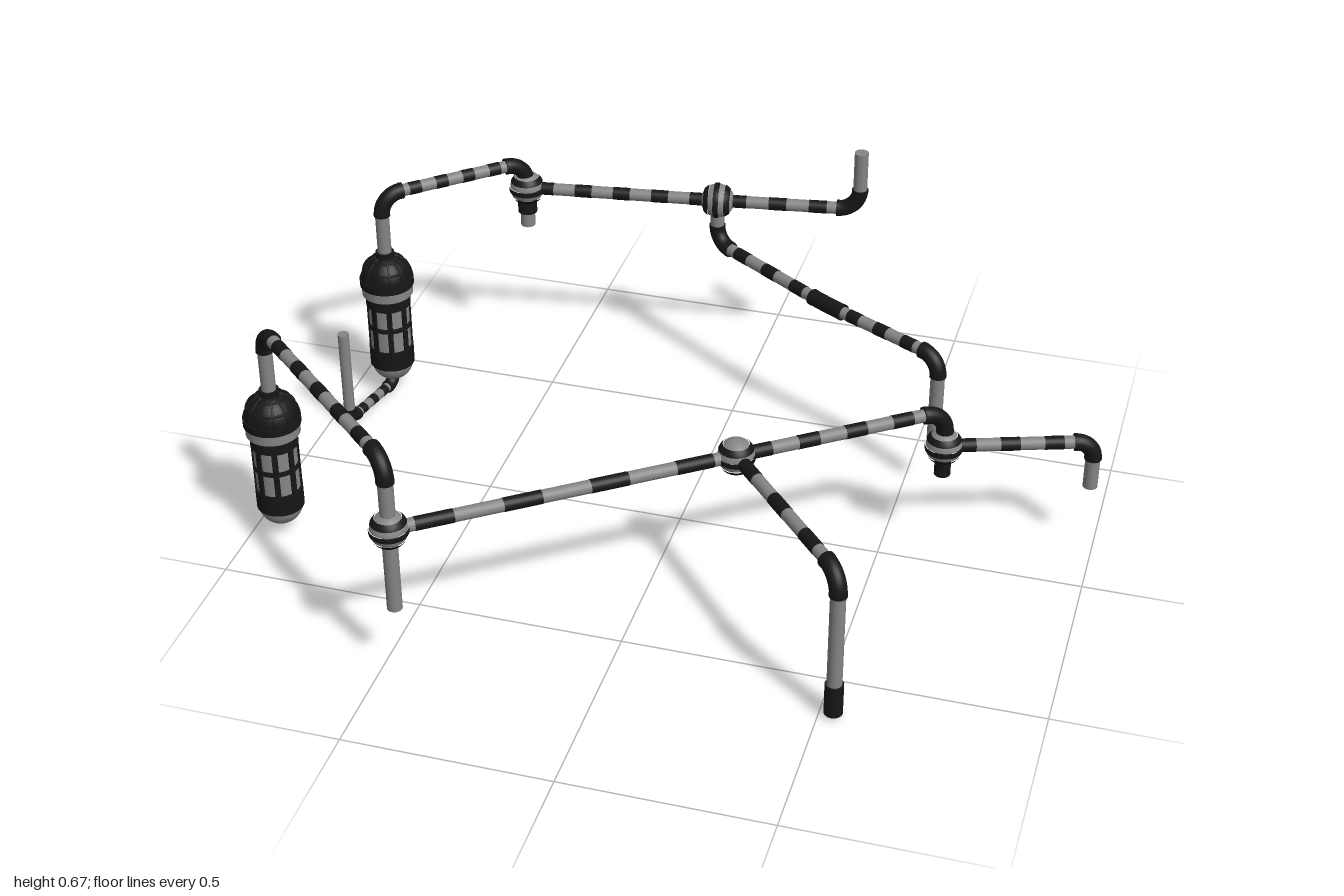
import * as THREE from 'three';

const grey = new THREE.MeshStandardMaterial({ color: 0x858585 });
const black = new THREE.MeshStandardMaterial({ color: 0x161616 });
const V = (x, y, z) => new THREE.Vector3(x, y, z);
const UP = V(0, 1, 0);

function add(parent, name, geometry, material) {
  const mesh = new THREE.Mesh(geometry, material);
  mesh.name = name;
  parent.add(mesh);
  return mesh;
}

// Straight cylinder between two points
function rod(parent, name, a, b, r, material) {
  const dir = b.clone().sub(a);
  const m = add(parent, name, new THREE.CylinderGeometry(r, r, dir.length(), 20), material);
  m.position.copy(a).lerp(b, 0.5);
  m.quaternion.setFromUnitVectors(UP, dir.normalize());
  return m;
}

// Horizontal runs carry black sleeves; uprights stay plain
function straight(parent, a, b, r, bands) {
  const flat = Math.abs(a.y - b.y) < 0.03;
  rod(parent, 'pipe', a, b, flat ? r * 0.88 : r, grey);
  if (!flat) return;
  for (let i = 0; i < bands; i++) {
    const t = (i + 0.5) / bands, h = 0.22 / bands;
    rod(parent, 'sleeve', a.clone().lerp(b, t - h), a.clone().lerp(b, t + h), r * 0.92, black);
  }
}

// Pipe along corner points, with black rounded elbows
function pipe(parent, name, pts, bands = 5, r = 0.018, bend = 0.055) {
  const g = new THREE.Group();
  g.name = name;
  parent.add(g);
  let start = pts[0];
  for (let i = 1; i < pts.length; i++) {
    const p = pts[i];
    if (i === pts.length - 1) { straight(g, start, p, r, bands); break; }
    const before = p.clone().add(pts[i - 1].clone().sub(p).setLength(bend));
    const after = p.clone().add(pts[i + 1].clone().sub(p).setLength(bend));
    straight(g, start, before, r, bands);
    // cubic handles approximate a circular quarter bend
    const curve = new THREE.CubicBezierCurve3(before, before.clone().lerp(p, 0.55), after.clone().lerp(p, 0.55), after);
    add(g, 'elbow', new THREE.TubeGeometry(curve, 12, r * 1.15, 20), black);
    for (const [end, t] of [[before, 0], [after, 1]]) {
      const d = curve.getTangent(t).multiplyScalar(0.004);
      rod(g, 'elbowCollar', end.clone().sub(d), end.clone().add(d), r * 1.18, black);
    }
    start = after;
  }
}

// Ball joint made of grey and black latitude bands
function joint(parent, name, p, axis = UP) {
  const g = new THREE.Group();
  g.name = name;
  const cuts = [0, 0.24, 0.36, 0.46, 0.56, 0.66, 0.78, 1];
  for (let i = 0; i < 7; i++) {
    const dark = i % 2 === 1;
    add(g, dark ? 'blackBand' : 'greyBand', new THREE.SphereGeometry(dark ? 0.046 : 0.044, 28, 5,
      0, Math.PI * 2, cuts[i] * Math.PI, (cuts[i + 1] - cuts[i]) * Math.PI), dark ? black : grey);
  }
  g.position.copy(p);
  g.quaternion.setFromUnitVectors(UP, axis.clone().normalize());
  parent.add(g);
}

// Tank: rounded base, caged body, ring and ribbed dome
function tank(parent, name, x, z) {
  const g = new THREE.Group();
  g.name = name;
  g.position.set(x, 0, z);
  parent.add(g);
  const cyl = (n, r, y0, y1, mat) => {
    add(g, n, new THREE.CylinderGeometry(r, r, y1 - y0, 32), mat).position.y = (y0 + y1) / 2;
  };
  const base = add(g, 'roundBase', new THREE.SphereGeometry(0.055, 32, 12, 0, Math.PI * 2, Math.PI / 2, Math.PI / 2), grey);
  base.position.y = 0.09;
  cyl('lowerBand', 0.058, 0.085, 0.14, black);
  cyl('body', 0.053, 0.14, 0.30, grey);
  cyl('middleHoop', 0.057, 0.20, 0.212, black);
  cyl('upperBand', 0.058, 0.265, 0.30, black);
  cyl('ring', 0.066, 0.298, 0.325, grey);
  cyl('domeFoot', 0.07, 0.325, 0.345, black);
  for (let i = 0; i < 8; i++) {
    const a = (i + 0.5) * Math.PI / 4;
    const bar = add(g, 'cageBar', new THREE.BoxGeometry(0.014, 0.13, 0.008), black);
    bar.position.set(Math.sin(a) * 0.053, 0.203, Math.cos(a) * 0.053);
    bar.rotation.y = a;
  }
  const dome = add(g, 'dome', new THREE.SphereGeometry(0.066, 32, 10, 0, Math.PI * 2, 0, Math.PI / 2), black);
  dome.position.y = 0.343;
  for (let i = 0; i < 6; i++) {
    const rib = add(g, 'domeRib', new THREE.TorusGeometry(0.066, 0.003, 6, 20, Math.PI), black);
    rib.position.y = 0.343;
    rib.rotation.y = i * Math.PI / 6;
  }
  for (const t of [0.5, 1.0]) {
    const hoop = add(g, 'domeHoop', new THREE.TorusGeometry(0.066 * Math.cos(t), 0.003, 6, 32), black);
    hoop.position.y = 0.343 + 0.066 * Math.sin(t);
    hoop.rotation.x = Math.PI / 2;
  }
  cyl('neck', 0.024, 0.39, 0.42, black);
}

export function createModel() {
  const model = new THREE.Group();

  // Rear run
  const a1 = V(-0.60, 0.51, -0.635), a2 = V(-0.10, 0.51, -0.705);
  const rear = new THREE.Group();
  rear.name = 'rearRun';
  model.add(rear);
  tank(rear, 'rearTank', -0.90, -0.365);
  pipe(rear, 'tankPipe', [V(-0.90, 0.38, -0.365), V(-0.90, 0.585, -0.365), V(-0.60, 0.585, -0.635), a1], 4);
  joint(rear, 'cornerJoint', a1);
  rod(rear, 'cornerStub', a1, V(-0.60, 0.40, -0.635), 0.019, grey);
  rod(rear, 'stubCollar', V(-0.60, 0.475, -0.635), V(-0.60, 0.44, -0.635), 0.025, black);
  pipe(rear, 'mainPipe', [a1, a2], 5);
  joint(rear, 'branchJoint', a2, a2.clone().sub(a1));
  pipe(rear, 'risingEnd', [a2, V(0.265, 0.51, -0.76), V(0.265, 0.675, -0.76)], 3);
  pipe(rear, 'branchPipe', [a2, V(-0.10, 0.385, -0.705), V(0.25, 0.385, -0.475),
    V(0.57, 0.385, -0.31), V(0.57, 0.13, -0.31)], 3, 0.018, 0.05);
  pipe(rear, 'drainPipe', [V(-0.90, 0.06, -0.365), V(-0.90, 0.018, -0.365),
    V(-0.945, 0.018, -0.165), V(-0.945, 0.28, -0.165)], 3, 0.0145, 0.03);

  // Front run
  const b1 = V(-0.46, 0.40, 0.735), b2 = V(0.205, 0.40, 0.25), b3 = V(0.635, 0.30, -0.063);
  const front = new THREE.Group();
  front.name = 'frontRun';
  model.add(front);
  tank(front, 'frontTank', -0.928, 0.315);
  pipe(front, 'tankPipe', [V(-0.928, 0.38, 0.315), V(-0.928, 0.585, 0.315), V(-0.46, 0.585, 0.735), b1], 5);
  joint(front, 'cornerJoint', b1);
  rod(front, 'cornerStub', b1, V(-0.46, 0.18, 0.735), 0.018, grey);
  pipe(front, 'mainPipe', [b1, b2], 4);
  joint(front, 'branchJoint', b2);
  pipe(front, 'branchLeg', [b2, V(0.533, 0.40, 0.62), V(0.533, 0.02, 0.62)], 3);
  rod(front, 'legFoot', V(0.533, 0.01, 0.62), V(0.533, 0.093, 0.62), 0.022, black);
  pipe(front, 'farPipe', [b2, V(0.635, 0.40, -0.063), b3], 4);
  joint(front, 'endJoint', b3);
  rod(front, 'endStub', b3, V(0.635, 0.22, -0.063), 0.02, black);
  pipe(front, 'fallingEnd', [b3, V(0.978, 0.30, -0.18), V(0.978, 0.17, -0.18)], 3, 0.018, 0.045);
  return model;
}
